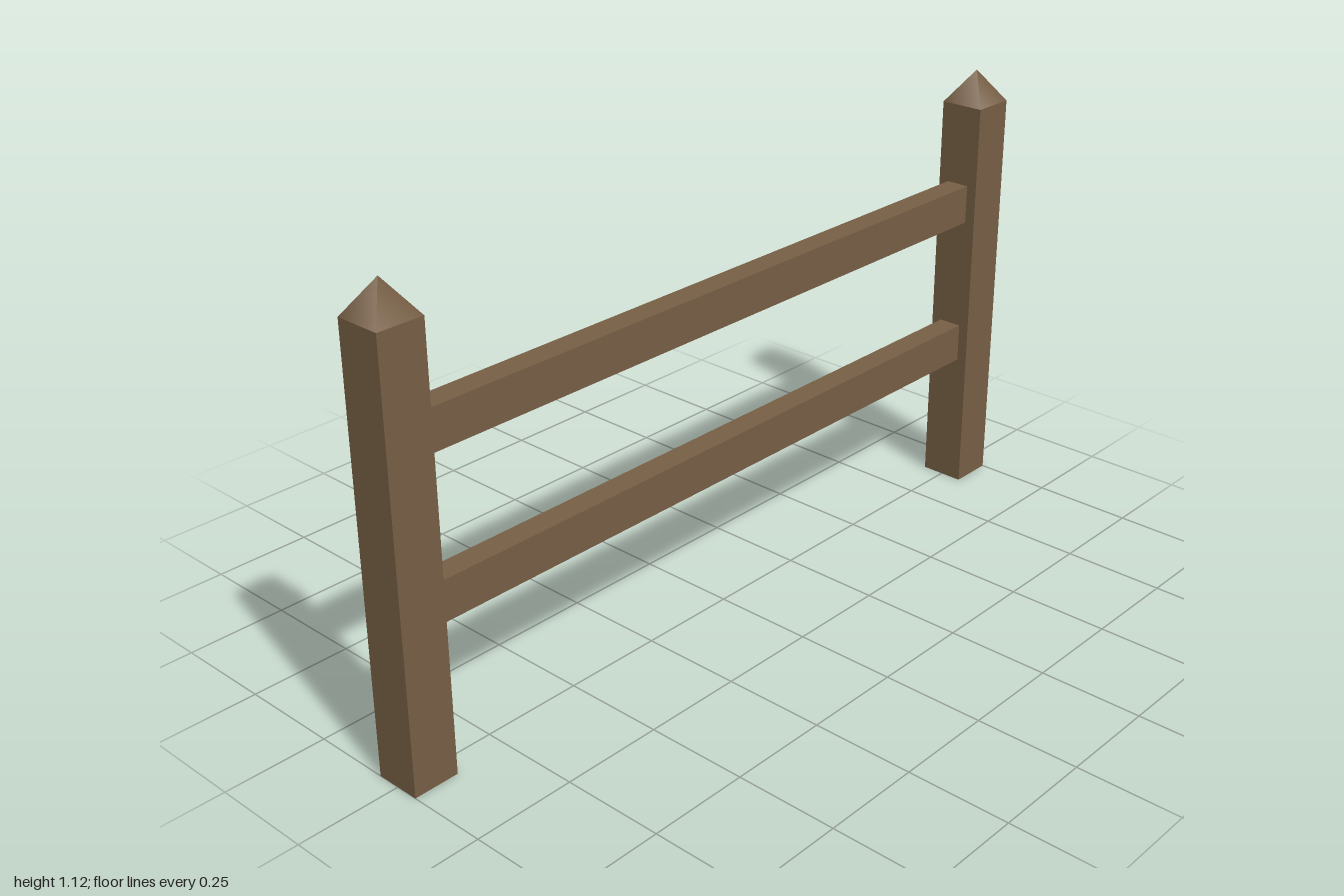
import * as THREE from 'three';

export function createModel() {
  const group = new THREE.Group();
  group.name = 'fence';
  const wood = new THREE.MeshStandardMaterial({ color: 0x775f45 });
  wood.name = 'brown wood';

  const postWidth = 0.113, postHeight = 1.037, capHeight = 0.081;
  const postX = 1 - postWidth / 2;

  function add(name, geometry, x, y) {
    const mesh = new THREE.Mesh(geometry, wood);
    mesh.name = name;
    mesh.position.set(x, y, 0);
    group.add(mesh);
  }

  // Square posts with pointed, softly shaded caps
  const post = new THREE.BoxGeometry(postWidth, postHeight, postWidth);
  const cap = new THREE.ConeGeometry(postWidth * Math.SQRT1_2, capHeight, 4);
  cap.rotateY(Math.PI / 4);
  for (const [side, sign] of [['left', 1], ['right', -1]]) {
    add(side + 'Post', post, sign * postX, postHeight / 2);
    add(side + 'PostCap', cap, sign * postX, postHeight + capHeight / 2);
  }

  // Two horizontal rails between the posts
  const rail = new THREE.BoxGeometry(2 - 2 * postWidth, 0.098, 0.06);
  add('lowerRail', rail, 0, 0.399);
  add('upperRail', rail, 0, 0.783);

  return group;
}
